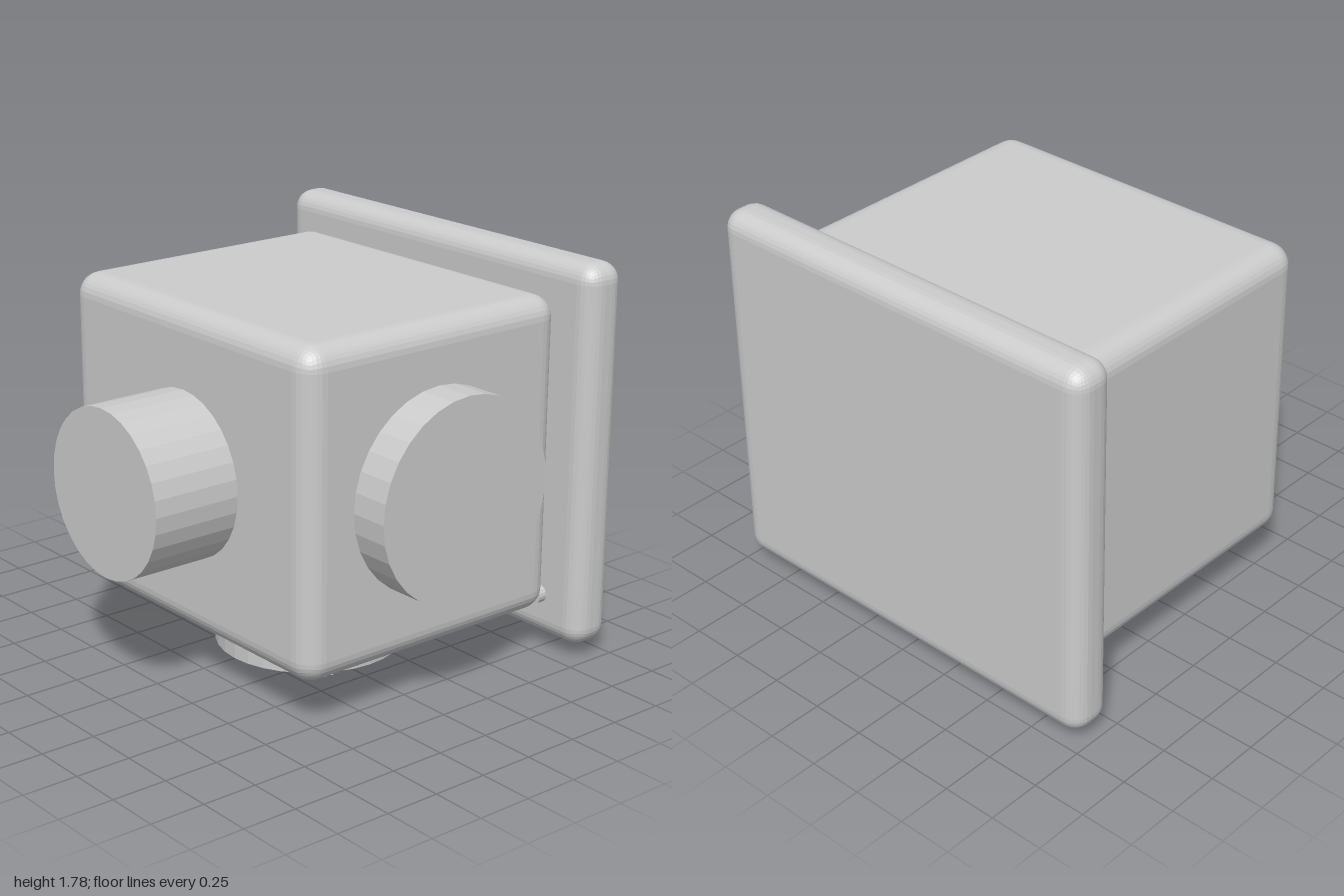
import * as THREE from 'three';
import { RoundedBoxGeometry } from 'three/addons/geometries/RoundedBoxGeometry.js';

export function createModel() {
  const model = new THREE.Group();
  const material = new THREE.MeshStandardMaterial({ color: 0xcccccc, flatShading: true });

  function add(name, geometry, x, y, z) {
    const mesh = new THREE.Mesh(geometry, material);
    mesh.name = name;
    mesh.position.set(x, y, z);
    model.add(mesh);
    return mesh;
  }
  // Cylinder lying along the chosen axis
  function cylinder(name, axis, radius, length, x, y, z, sides = 32) {
    const geometry = new THREE.CylinderGeometry(radius, radius, length, sides);
    if (axis === 'x') geometry.rotateZ(-Math.PI / 2);
    if (axis === 'z') geometry.rotateX(Math.PI / 2);
    return add(name, geometry, x, y, z);
  }

  // Rounded housing and the larger plate behind it
  add('housing', new RoundedBoxGeometry(1.64, 1.43, 1.38, 4, 0.1), 0, 0.925, -0.1);
  add('backPlate', new RoundedBoxGeometry(1.99, 1.725, 0.21, 4, 0.085), -0.005, 0.922, -0.895);

  // Round ports on the front, left side and underside
  cylinder('frontPort', 'z', 0.37, 0.46, 0, 0.925, 0.77);
  cylinder('sidePort', 'x', 0.45, 0.23, 0.885, 0.925, -0.1);
  cylinder('basePort', 'y', 0.425, 0.26, 0, 0.13, -0.095);

  // Fluted knob under the housing
  const teeth = 20, outline = [];
  for (let i = 0; i < teeth * 4; i++) {
    const angle = (i / (teeth * 4)) * Math.PI * 2;
    const radius = i % 4 < 2 ? 0.117 : 0.102;
    outline.push(new THREE.Vector2(Math.cos(angle) * radius, Math.sin(angle) * radius));
  }
  const knob = new THREE.ExtrudeGeometry(new THREE.Shape(outline), { depth: 0.14, bevelEnabled: false });
  knob.rotateX(-Math.PI / 2);
  add('flutedKnob', knob, 0.455, 0.1, 0.25);

  // Small button beside the base port
  cylinder('button', 'y', 0.06, 0.09, -0.462, 0.2, 0.25, 24);

  // Pins joining the plate to the lower rear corners
  for (const side of [-1, 1]) {
    cylinder('platePin', 'z', 0.04, 0.08, side * 0.76, 0.265, -0.79, 16);
  }
  return model;
}
